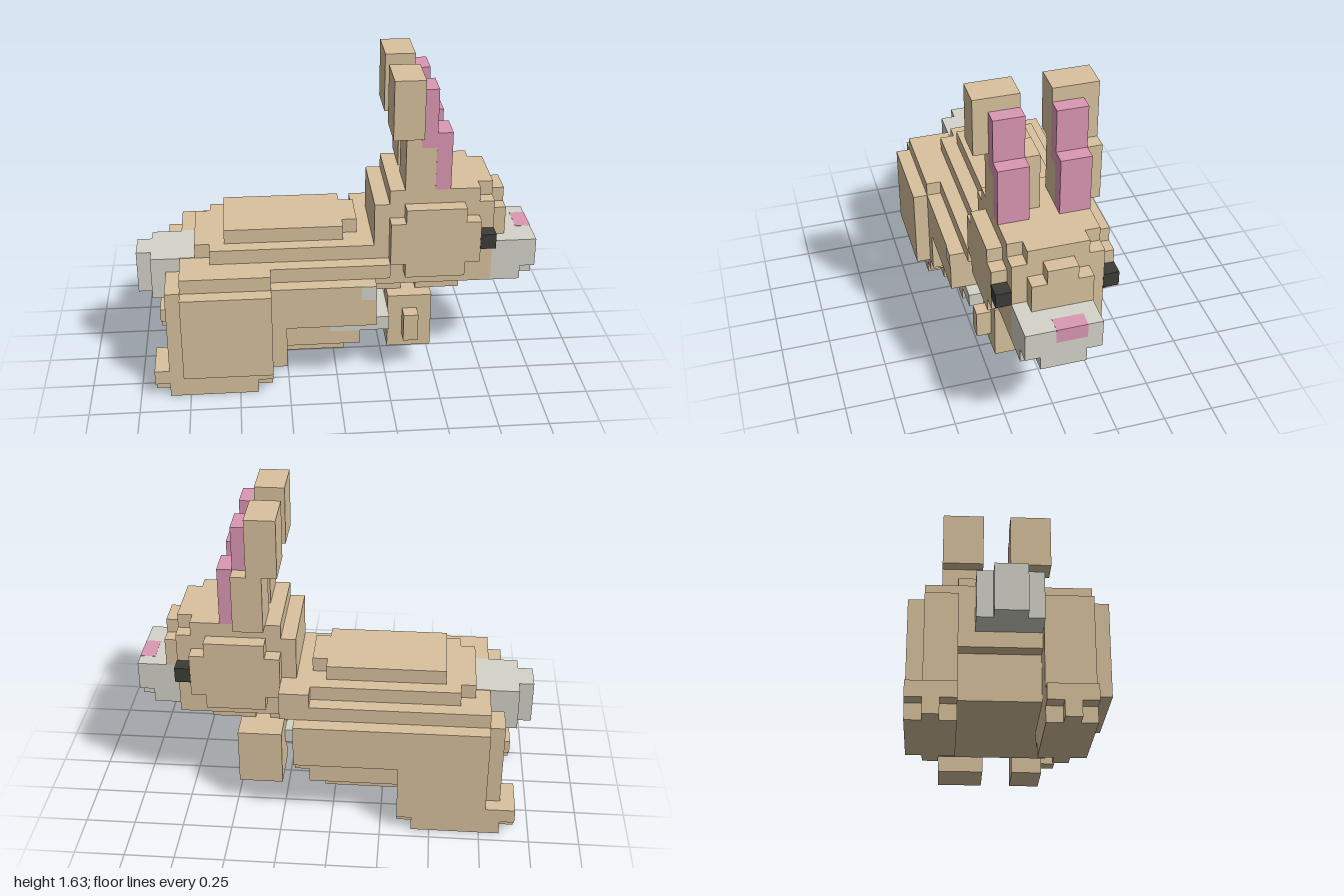
import * as THREE from 'three';

// One cell of the block grid; the model is 27 cells long and 12 wide
const U = 2 / 27;

const flat = (name, color) => {
  const m = new THREE.MeshStandardMaterial({ color });
  m.name = name;
  return m;
};

export function createModel() {
  const root = new THREE.Group();
  root.name = 'rabbit';
  const tan = flat('tan fur', 0xd9c29e);
  const grey = flat('pale grey fur', 0xd5d4c9);
  const pink = flat('pink skin', 0xdc97b4);
  const black = flat('black eye', 0x3c3c37);

  // Adds blocks given as [x0, x1, y0, y1, z0, z1] in grid cells
  function part(name, material, blocks, grow = 0) {
    const group = new THREE.Group();
    group.name = name;
    for (const [x0, x1, y0, y1, z0, z1] of blocks) {
      const geo = new THREE.BoxGeometry(
        (x1 - x0) * U + grow, (y1 - y0) * U + grow, (z1 - z0) * U + grow);
      const mesh = new THREE.Mesh(geo, material);
      mesh.name = name;
      mesh.position.set(
        ((x0 + x1) / 2 - 13.5) * U, (y0 + y1) / 2 * U, ((z0 + z1) / 2 - 6) * U);
      group.add(mesh);
    }
    root.add(group);
  }

  // Body: wide middle, stepped back, narrow belly
  part('body', tan, [
    [3, 16, 5, 8, 1, 10],
    [3, 17, 8, 9, 1, 10],
    [4, 16, 9, 10, 3, 8],
    [5, 16, 9, 10, 2, 9],
    [6, 14, 10, 11, 3, 8],
    [14, 15, 10, 11, 4, 7],
  ]);
  part('shoulder', tan, [[15, 17, 8, 10, 1, 3]]);
  part('flank', tan, [
    [3, 16, 5, 8, 0, 1],
    [2, 16, 5, 8, 10, 11],
  ]);
  part('belly', tan, [
    [4, 14, 2, 3, 2, 9],
    [4, 15, 3, 4, 1, 10],
    [4, 13, 4, 5, 1, 10],
    [13, 16, 4, 5, 1, 4],
  ]);
  part('chest', grey, [
    [13, 17, 4, 5, 4, 10],
    [15, 16, 3, 4, 5, 7],
  ]);
  part('chestPatch', grey, [
    [15, 16, 7, 8, 11, 11.04],
    [16, 16.04, 6, 7, 8, 9],
  ]);

  // Hind legs with feet whose sole has cut corners
  part('haunch', tan, [
    [3, 9, 2, 8, 0, 3],
    [2, 9, 2, 8, 1, 3],
    [2, 9, 2, 8, 8, 11],
    [3, 9, 8, 9, 10, 11],
    [9, 10, 2, 5, 8, 11],
    [3, 9, 2, 8, 11, 12],
  ]);
  for (const z of [0, 8]) {
    part('hindFoot', tan, [
      [1, 9, 1, 2, z, z + 3],
      [2, 8, 0, 1, z, z + 3],
      [1, 9, 0, 1, z + 1, z + 2],
    ]);
  }

  // Front legs
  part('frontLeg', tan, [[17, 20, 2, 6, 2, 5]]);
  part('frontLeg', tan, [
    [17, 20, 2, 6, 7, 9],
    [18, 19, 3, 5, 9, 10],
  ]);

  // Cheeks, eyes and ears, mirrored across the head
  for (const side of [-1, 1]) {
    const block = (x0, x1, y0, y1, a, b) =>
      [x0, x1, y0, y1, 6 + Math.min(side * a, side * b), 6 + Math.max(side * a, side * b)];
    part('cheek', tan, [
      block(18, 22, 8, 13, 3, 4),
      block(17, 23, 9, 12, 3, 4),
    ]);
    part('eye', black, [block(23, 24, 10, 11, 3, 4)], 0.004);
    part('innerEar', pink, [
      block(19, 20, 17, 21, 1, 3),
      block(20, 21, 14, 18, 1, 3),
    ], 0.002);
    part('earTip', tan, [block(17, 19, 18, 22, 1, 4)]);
  }

  // Ear stems, both shifted the same way under the tips
  for (const z of [2, 6]) {
    part('earStem', tan, [
      [18, 19, 14, 18, z, z + 3],
      [19, 20, 14, 17, z, z + 3],
      [19, 20, 17, 18, z, z + 1],
    ]);
  }

  // Neck and stepped head
  part('neck', tan, [
    [15, 18, 6, 7, 4, 8],
    [15, 18, 7, 9, 3, 9],
  ]);
  part('head', tan, [
    [17, 24, 7, 13, 3, 9],
    [17, 23, 13, 14, 3, 9],
    [23, 24, 13, 14, 4, 8],
    [16, 17, 8, 13, 3, 9],
    [24, 25, 10, 12, 4, 8],
    [24, 25, 12, 13, 5, 7],
    [19, 22, 6, 7, 4, 8],
  ]);
  part('snout', grey, [
    [24, 27, 8, 10, 4, 9],
    [24, 26, 7, 8, 4, 9],
    [26, 27, 7, 8, 5, 8],
  ]);
  part('nose', pink, [[26, 27, 9, 10, 5, 7]], 0.002);

  // Tail
  part('tail', grey, [
    [0, 1, 6, 9, 5, 7],
    [1, 3, 6, 9, 4, 8],
    [3, 4, 9, 9.04, 4, 8],
  ]);

  return root;
}
